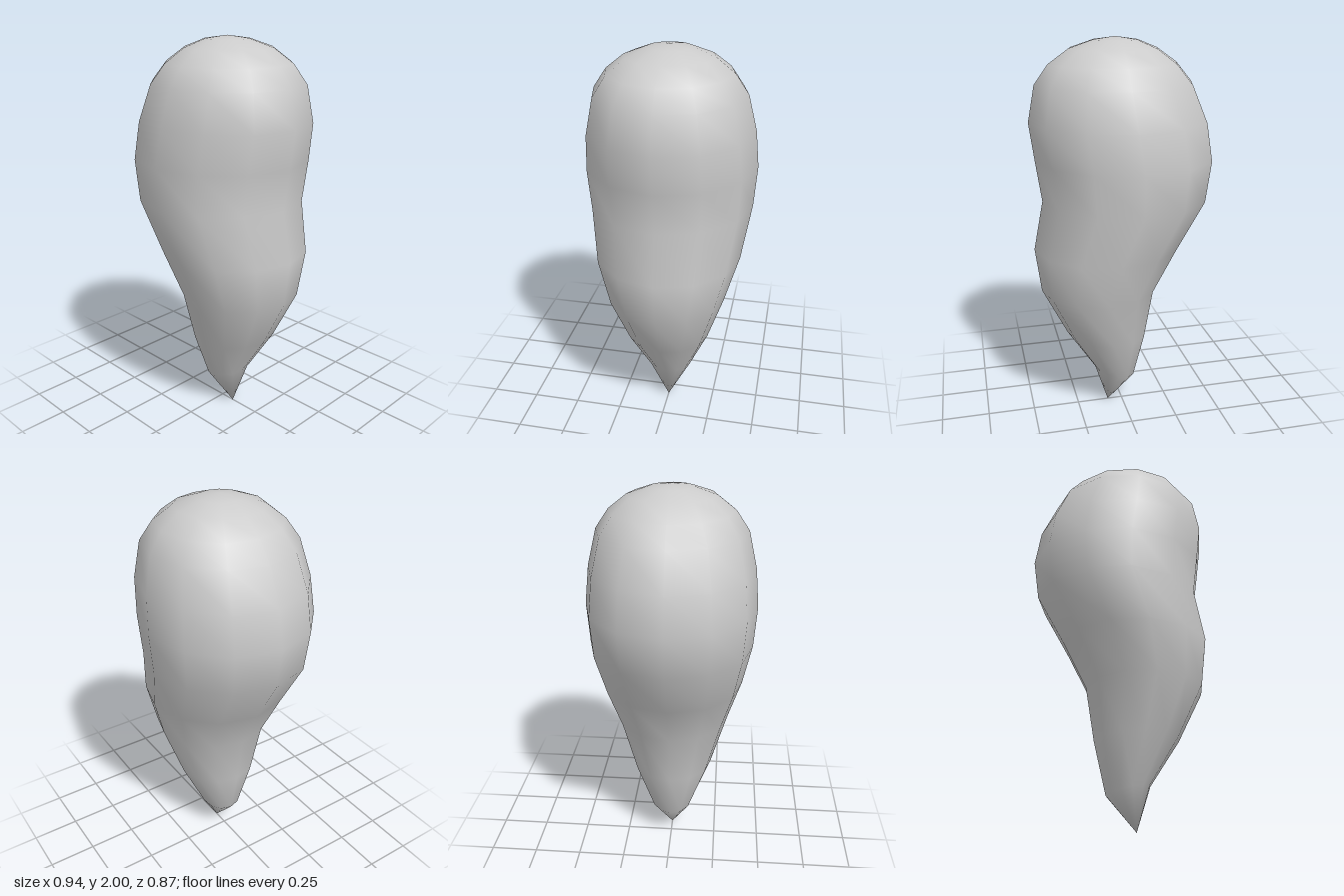
import * as THREE from 'three';

const SIDES = 12;

// Cross-sections, top to bottom: [left x, left y, right x, right y, half depth]
const RINGS = [
  [-0.08, 1.985, 0.14, 1.985, 0.11],
  [-0.18, 1.945, 0.26, 1.945, 0.22],
  [-0.28, 1.875, 0.36, 1.875, 0.31],
  [-0.36, 1.78, 0.43, 1.78, 0.375],
  [-0.44, 1.6, 0.465, 1.6, 0.417],
  [-0.47, 1.41, 0.44, 1.41, 0.433],
  [-0.44, 1.2, 0.41, 1.2, 0.418],
  [-0.295, 0.945, 0.46, 0.945, 0.375],
  [-0.175, 0.71, 0.43, 0.71, 0.305],
  [-0.13, 0.43, 0.3, 0.45, 0.218],
  [-0.07, 0.17, 0.15, 0.22, 0.112],
];
const TOP = [0.03, 2, 0];
const TIP = [0.08, 0, 0];

// Closed skin: one pole, elliptical rings along the bent spine, second pole
function bodyGeometry() {
  const points = [...TOP];
  for (const [lx, ly, rx, ry, depth] of RINGS) {
    for (let i = 0; i < SIDES; i++) {
      const a = (i / SIDES) * Math.PI * 2;
      const t = (1 + Math.cos(a)) / 2;
      points.push(lx + (rx - lx) * t, ly + (ry - ly) * t, depth * Math.sin(a));
    }
  }
  points.push(...TIP);

  const index = [];
  const at = (ring, i) => 1 + ring * SIDES + (i % SIDES);
  const last = RINGS.length - 1;
  const tip = 1 + RINGS.length * SIDES;
  for (let i = 0; i < SIDES; i++) {
    index.push(0, at(0, i + 1), at(0, i));
    for (let r = 0; r < last; r++) {
      const a = at(r, i), b = at(r, i + 1), c = at(r + 1, i), d = at(r + 1, i + 1);
      index.push(a, b, c, b, d, c);
    }
    index.push(tip, at(last, i), at(last, i + 1));
  }

  const geometry = new THREE.BufferGeometry();
  geometry.setAttribute('position', new THREE.Float32BufferAttribute(points, 3));
  geometry.setIndex(index);
  geometry.computeVertexNormals();
  return geometry;
}

export function createModel() {
  const model = new THREE.Group();
  model.name = 'taperedBlob';
  const body = new THREE.Mesh(
    bodyGeometry(),
    new THREE.MeshStandardMaterial({ color: 0xcccccc }),
  );
  body.name = 'body';
  model.add(body);
  return model;
}
